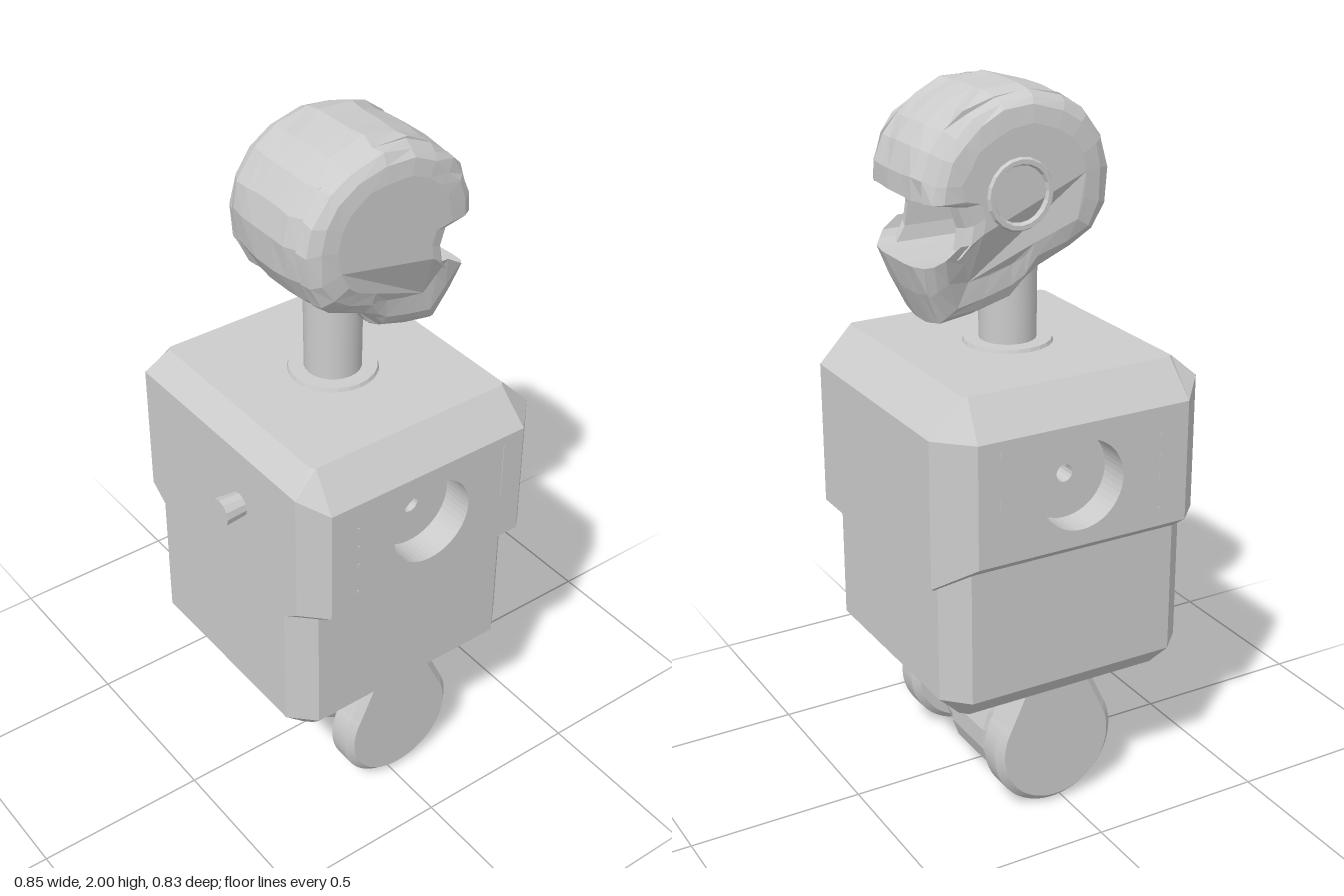
import * as THREE from 'three';

const flat = new THREE.MeshStandardMaterial({ color: 0xcccccc, flatShading: true });
const thin = new THREE.MeshStandardMaterial({ color: 0xcccccc, flatShading: true, side: THREE.DoubleSide });
const smooth = new THREE.MeshStandardMaterial({ color: 0xcccccc });

function add(parent, name, geometry, material = flat, pos = [0, 0, 0], rot = [0, 0, 0]) {
  const m = new THREE.Mesh(geometry, material);
  m.name = name;
  m.position.set(...pos);
  m.rotation.set(...rot);
  parent.add(m);
  return m;
}

// Skin a stack of rings (arrays of [x, y, z]); u, v are the axes of the ring plane.
function loft(rings, u, v, skip = () => false) {
  const n = rings[0].length, index = [];
  for (let r = 0; r < rings.length - 1; r++) {
    for (let i = 0; i < n; i++) {
      if (skip(r, i)) continue;
      const a = r * n + i, b = r * n + (i + 1) % n;
      index.push(a, b, b + n, a, b + n, a + n);
    }
  }
  const cap = ring => THREE.ShapeUtils.triangulateShape(ring.map(p => new THREE.Vector2(p[u], p[v])), []);
  const top = (rings.length - 1) * n;
  for (const [a, b, c] of cap(rings[0])) index.push(a, c, b);
  for (const [a, b, c] of cap(rings[rings.length - 1])) index.push(top + a, top + b, top + c);
  const g = new THREE.BufferGeometry();
  g.setAttribute('position', new THREE.Float32BufferAttribute(rings.flat(2), 3));
  g.setIndex(index);
  const out = g.toNonIndexed();
  out.computeVertexNormals();
  return out;
}

// Rectangle with cut corners; yFace and yBack set the height of the +x and -x edges.
function octagon(x0, x1, z, cutBack, cutFace, y, yFace = y, yBack = y) {
  return [
    [x0 + cutBack, y, z], [x1 - cutFace, y, z], [x1, yFace, z - cutFace], [x1, yFace, cutFace - z],
    [x1 - cutFace, y, -z], [x0 + cutBack, y, -z], [x0, yBack, cutBack - z], [x0, yBack, z - cutBack],
  ];
}

function buildTorso(root) {
  const lower = [
    octagon(-0.30, 0.32, 0.30, 0.02, 0.02, 0.365),
    octagon(-0.365, 0.385, 0.357, 0.065, 0.065, 0.43),
    octagon(-0.365, 0.385, 0.357, 0.065, 0.065, 0.81),
  ];
  add(root, 'lowerTorso', loft(lower, 2, 0));

  const upper = [
    octagon(-0.365, 0.388, 0.36, 0.065, 0.08, 0.81, 0.75),
    octagon(-0.365, 0.42, 0.415, 0.065, 0.09, 0.85, 0.78),
    octagon(-0.365, 0.42, 0.415, 0.065, 0.09, 1.19, 1.19, 1.23),
    octagon(-0.30, 0.325, 0.335, 0.01, 0.01, 1.29),
  ];
  add(root, 'upperTorso', loft(upper, 2, 0, (r, i) => r === 1 && i % 4 === 0));

  // Side panels with a round recess, mirrored in z
  const cx = 0.025, cy = 1.02, radius = 0.125, depth = 0.09;
  const panel = new THREE.Shape([[-0.30, 0.85], [0.33, 0.85], [0.33, 1.19], [-0.30, 1.19]].map(p => new THREE.Vector2(...p)));
  panel.holes.push(new THREE.Path().absarc(cx, cy, radius, 0, Math.PI * 2, true));
  for (const s of [1, -1]) {
    const side = new THREE.Group();
    side.name = s > 0 ? 'frontPanel' : 'backPanel';
    side.scale.z = s;
    add(side, 'panelFace', new THREE.ShapeGeometry(panel, 24), thin, [0, 0, 0.415]);
    add(side, 'recessWall', new THREE.CylinderGeometry(radius, radius, depth, 48, 1, true), thin,
      [cx, cy, 0.415 - depth / 2], [Math.PI / 2, 0, 0]);
    add(side, 'recessFloor', new THREE.RingGeometry(0.024, radius, 48), thin, [cx, cy, 0.415 - depth]);
    add(side, 'panelSlot', new THREE.BoxGeometry(0.005, 0.16, 0.004), flat, [0.265, 1.08, 0.415]);
    for (const y of [0.9, 0.99, 1.05, 1.11])
      add(side, 'rivet', new THREE.BoxGeometry(0.006, 0.012, 0.004), flat, [-0.215, y, 0.415]);
    root.add(side);
  }
  add(root, 'throughHole', new THREE.CylinderGeometry(0.024, 0.024, 0.65, 16, 1, true), thin,
    [cx, cy, 0], [Math.PI / 2, 0, 0]);

  // Rear knob
  add(root, 'knob', new THREE.CylinderGeometry(0.04, 0.034, 0.07, 12), flat, [-0.393, 1.06, 0.097], [0, 0, Math.PI / 2]);
}

function buildWheels(root) {
  // Teardrop covers
  const r = 0.165, cx = 0.025, cy = 0.19;
  const drop = new THREE.Shape();
  drop.moveTo(cx + 0.095, 0.375);
  drop.lineTo(cx - 0.095, 0.375);
  drop.absarc(cx, cy, r, Math.PI * 5 / 6, Math.PI * 13 / 6, false);
  drop.closePath();
  const cover = new THREE.ExtrudeGeometry(drop, {
    depth: 0.06, bevelThickness: 0.02, bevelSize: 0.02, bevelSegments: 1, curveSegments: 32,
  });
  add(root, 'frontWheelCover', cover, flat, [0, 0, 0.23]);
  add(root, 'backWheelCover', cover, flat, [0, 0, -0.28]);

  // Drum on the back cover, stub axle on the front cover
  const drum = [[0, -0.21], [0.15, -0.21], [0.15, -0.19], [0.172, -0.18], [0.172, 0.0], [0.16, 0.01], [0.15, 0.08],
    [0.12, 0.10], [0.05, 0.10], [0.05, 0.11], [0, 0.11]].map(p => new THREE.Vector2(...p));
  add(root, 'drum', new THREE.LatheGeometry(drum, 18), flat, [cx, cy, 0], [Math.PI / 2, 0, 0]);
  add(root, 'axleStub', new THREE.CylinderGeometry(0.05, 0.04, 0.07, 14), flat, [cx, cy, 0.185], [Math.PI / 2, 0, 0]);
}

function buildHead(root) {
  const head = new THREE.Group();
  head.name = 'head';
  root.add(head);
  add(head, 'neck', new THREE.CylinderGeometry(0.08, 0.078, 0.34, 24), smooth, [0.01, 1.43, 0]);
  add(head, 'neckFlange', new THREE.CylinderGeometry(0.12, 0.125, 0.014, 24), flat, [0.01, 1.293, 0]);

  // Helmet outline, the last four points being the visor opening
  const outline = [
    [0.335, 1.735], [0.335, 1.79], [0.31, 1.86], [0.27, 1.91], [0.21, 1.955], [0.13, 1.99], [0.03, 2.0],
    [-0.07, 1.975], [-0.14, 1.93], [-0.19, 1.86], [-0.21, 1.78], [-0.2, 1.68], [-0.16, 1.61], [-0.1, 1.56],
    [0, 1.52], [0.04, 1.47], [0.08, 1.435], [0.18, 1.41], [0.27, 1.39], [0.31, 1.48], [0.335, 1.56],
    [0.28, 1.56], [0.25, 1.6], [0.24, 1.66], [0.26, 1.72],
  ];
  // [z, scale, visor depth]
  const half = [[0.19, 0.66, 0], [0.183, 0.83, 0], [0.165, 0.92, 0], [0.135, 0.97, 0], [0.135, 0.97, 0.2],
    [0.09, 0.99, 0.2], [0.04, 1, 0.2]];
  const slices = [...half.map(([z, ...rest]) => [-z, ...rest]), [0, 1, 0.2], ...half.slice().reverse()];
  const wobble = k => { const s = Math.sin(k * 12.9898) * 43758.5453; return (s - Math.floor(s) - 0.5) * 0.012; };
  const rings = slices.map(([z, s, deep], j) => outline.map(([x, y], i) => {
    const visor = i > 20;
    const jaw = THREE.MathUtils.clamp((1.6 - y) / 0.2, 0, 1);
    const k = Math.abs(s) < 1 && !visor ? wobble(i + j * 31) : 0;
    return [
      0.06 + (x - 0.06) * s + k - (visor ? deep : 0),
      1.75 + (y - 1.75) * s + (i > 0 && i < 20 ? k : 0),
      z * (1 - 0.3 * jaw),
    ];
  }));
  add(head, 'helmet', loft(rings, 0, 1));

  // Ear pad on the far side
  add(head, 'earPad', new THREE.TorusGeometry(0.085, 0.012, 6, 20), flat, [0.08, 1.74, -0.188]);
}

export function createModel() {
  const root = new THREE.Group();
  root.name = 'robot';
  buildTorso(root);
  buildWheels(root);
  buildHead(root);
  return root;
}
